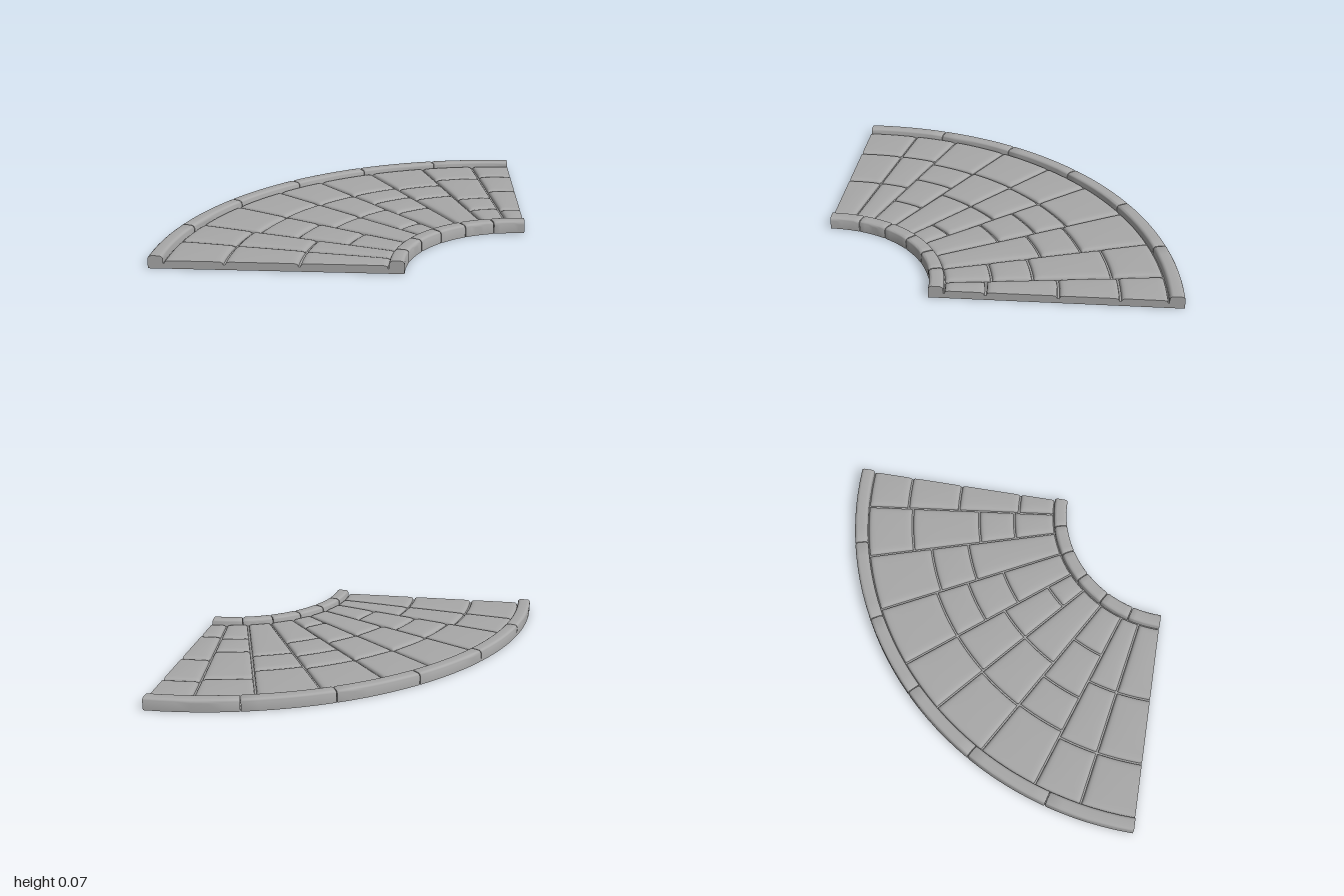
import * as THREE from 'three';
import { toCreasedNormals } from 'three/addons/utils/BufferGeometryUtils.js';

const stoneGrey = new THREE.MeshStandardMaterial({ color: 0xa8a8a8 });
stoneGrey.name = 'stoneGrey';

const DEG = Math.PI / 180, QUARTER = Math.PI / 2;
const R_IN = 0.67, R_OUT = 2, CURB = 0.08;
const FLOOR = 0.027, STONE_TOP = 0.044, CURB_TOP = 0.07, GAP = 0.005;

// Polar position around the bend's centre at (1, 1); angle 0 is the front edge
const polar = (r, y, a) => [1 - r * Math.cos(a), y, 1 - r * Math.sin(a)];

function makeMesh(name, points, index, crease) {
  const geo = new THREE.BufferGeometry();
  geo.setAttribute('position', new THREE.Float32BufferAttribute(points.flat(), 3));
  geo.setIndex(index);
  const mesh = new THREE.Mesh(toCreasedNormals(geo, crease), stoneGrey);
  mesh.name = name;
  return mesh;
}

// Sweeps a closed profile of [r, y] along an arc; rings are [angle, scale]
function sweep(name, profile, rings) {
  const n = profile.length, last = rings.length - 1;
  const mid = profile.reduce((s, p) => s + p[0], 0) / n;
  const points = [], index = [];
  rings.forEach(([a, s]) => {
    for (const [r, y] of profile) points.push(polar(mid + (r - mid) * s, y * s, a));
  });
  for (let j = 0; j < last; j++) for (let i = 0; i < n; i++) {
    const k = (i + 1) % n;
    const a = j * n + i, b = j * n + k, c = b + n, d = a + n;
    index.push(a, b, c, a, c, d);
  }
  for (let i = 1; i < n - 1; i++) {
    index.push(0, i + 1, i);
    index.push(last * n, last * n + i, last * n + i + 1);
  }
  return makeMesh(name, points, index, 0.6);
}

// Kerb cross-section with rounded upper edges
function curbProfile(r0, r1) {
  const p = [[r0, 0], [r1, 0]], q = 0.02;
  for (let i = 0; i <= 8; i++) {
    const t = (i < 4 ? i : i - 0) * QUARTER / 4;
    const cx = i <= 4 ? r1 - q : r0 + q;
    p.push([cx + q * Math.cos(t), CURB_TOP - q + q * Math.sin(t)]);
    if (i === 4) p.push([r0 + q, CURB_TOP]);
  }
  return p;
}

// Six kerb stones per side, with slightly eased ends at the joints
function curb(name, r0, r1) {
  const group = new THREE.Group();
  group.name = name;
  const profile = curbProfile(r0, r1);
  const gap = 0.002 / r0, ease = 0.008 / r0;
  for (let k = 0; k < 6; k++) {
    const a0 = k * 15 * DEG + (k > 0 ? gap : 0);
    const a1 = (k + 1) * 15 * DEG - (k < 5 ? gap : 0);
    const rings = [[a0, k > 0 ? 0.93 : 1]];
    for (let i = 0; i <= 6; i++) rings.push([a0 + ease + (a1 - a0 - 2 * ease) * i / 6, 1]);
    rings.push([a1, k < 5 ? 0.93 : 1]);
    group.add(sweep(name + 'Stone', profile, rings));
  }
  return group;
}

// Distances across a stone, closer together near its worn edges
function steps(length) {
  const e = [0, 0.004, 0.011, 0.024, 0.045];
  const list = e.concat([0.25, 0.5, 0.75].map(t => 0.045 + t * (length - 0.09)));
  list.push(...e.map(d => length - d).reverse());
  return [list[0], ...list, length];
}

const roundOff = d => Math.sqrt(Math.max(0, 1 - Math.pow(1 - Math.min(d / 0.03, 1), 3)));

// One pillow-topped paving stone; edges on the cut ends stay flush
function pavingStone(a0, a1, r0, r1, cutStart, cutEnd) {
  const points = [], index = [];
  const rMid = (r0 + r1) / 2;
  const us = steps((a1 - a0) * rMid), vs = steps(r1 - r0 - 2 * GAP);
  const nu = us.length, nv = vs.length, width = us[nu - 1], depth = vs[nv - 1];
  for (let i = 0; i < nu; i++) for (let j = 0; j < nv; j++) {
    const r = r0 + GAP + vs[j];
    const s = a0 + (cutStart ? 0 : GAP / r), e = a1 - (cutEnd ? 0 : GAP / r);
    const u = us[i] / width, v = vs[j] / depth;
    const f = (cutStart ? 1 : roundOff(us[i])) * (cutEnd ? 1 : roundOff(width - us[i]))
      * roundOff(vs[j]) * roundOff(depth - vs[j]);
    const dome = 0.004 * (1 - (2 * u - 1) ** 2) * (1 - (2 * v - 1) ** 2);
    const skirt = i === 0 || j === 0 || i === nu - 1 || j === nv - 1;
    const y = skirt ? FLOOR - 0.002 : FLOOR + (STONE_TOP - FLOOR) * f + dome;
    points.push(polar(r, y, s + (e - s) * u));
  }
  for (let i = 0; i < nu - 1; i++) for (let j = 0; j < nv - 1; j++) {
    const a = i * nv + j, b = a + nv, c = b + 1, d = a + 1;
    index.push(a, b, c, a, c, d);
  }
  return makeMesh('pavingStone', points, index, 0.9);
}

export function createModel() {
  const model = new THREE.Group();
  model.name = 'curvedPavedRoad';

  // Flat bed under the stones
  const bed = [];
  for (let i = 0; i <= 48; i++) bed.push([QUARTER * i / 48, 1]);
  const b0 = R_IN + 0.01, b1 = R_OUT - 0.01;
  model.add(sweep('roadBed', [[b0, 0], [b1, 0], [b1, FLOOR], [b0, FLOOR]], bed));

  model.add(curb('outerCurb', R_OUT - CURB, R_OUT));
  model.add(curb('innerCurb', R_IN, R_IN + CURB));

  // Paving: wedge angles, and the radii where each wedge is split
  const angles = [0, 9.5, 18, 29, 40, 50, 61.5, 72.5, 82.8, 90];
  const splits = [
    [1.21, 1.6], [1.21, 1.6], [1.03, 1.33, 1.56], [1.23, 1.57], [0.92, 1.23, 1.56],
    [1.13, 1.36, 1.56], [1.3, 1.53], [1.0, 1.22, 1.64], [0.97, 1.35, 1.67],
  ];
  const paving = new THREE.Group();
  paving.name = 'paving';
  splits.forEach((list, k) => {
    const radii = [R_IN + CURB, ...list, R_OUT - CURB];
    for (let i = 0; i < radii.length - 1; i++) {
      paving.add(pavingStone(angles[k] * DEG, angles[k + 1] * DEG, radii[i], radii[i + 1],
        k === 0, k === splits.length - 1));
    }
  });
  model.add(paving);
  return model;
}
